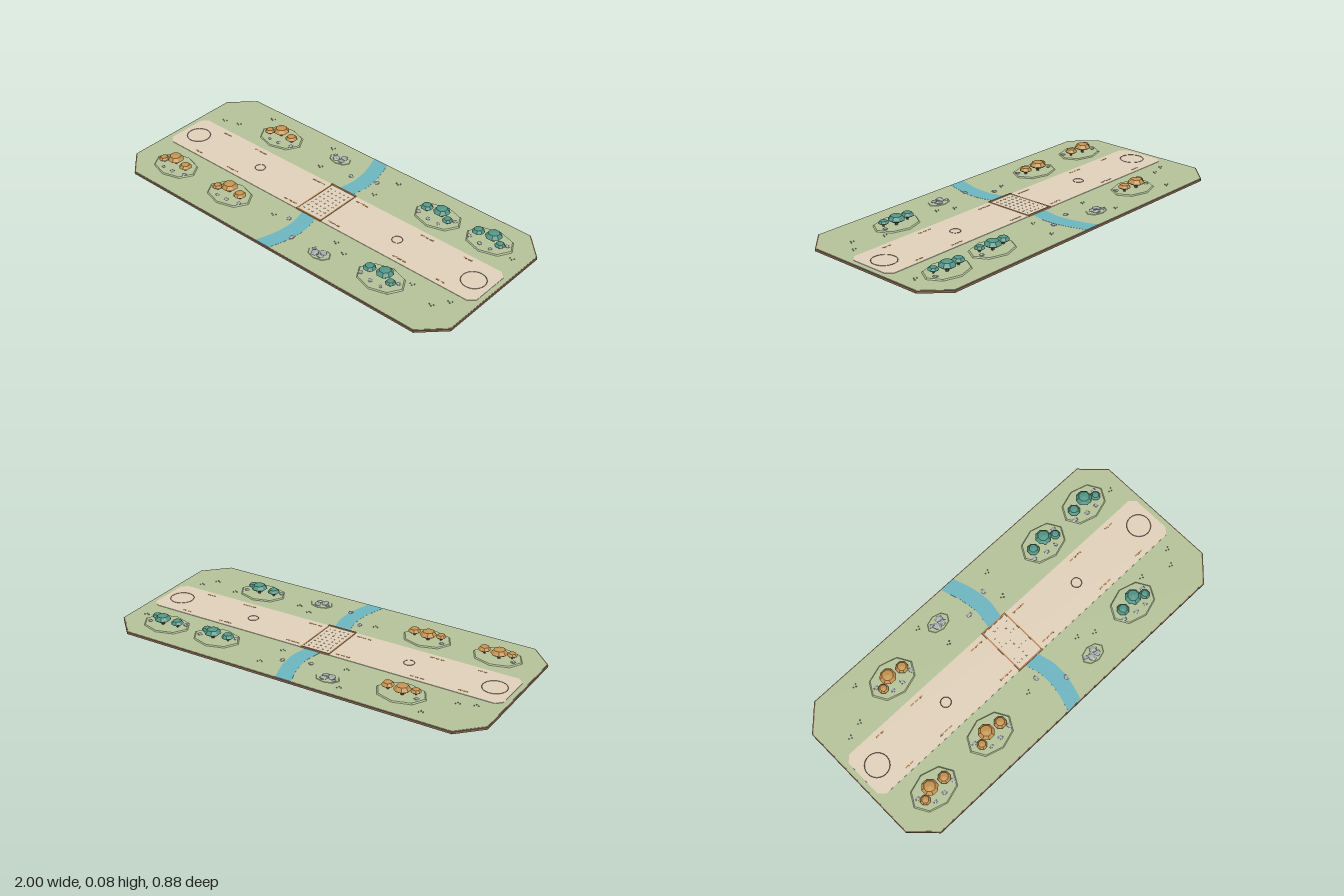
import * as THREE from 'three';

const mat = (name, color) => {
  const m = new THREE.MeshStandardMaterial({ color, flatShading: true });
  m.name = name;
  return m;
};

export function createModel() {
  const earth = mat('dark earth', 0x51473a), brown = mat('rim brown', 0x86684f);
  const grass = mat('grass', 0xb4c198), sand = mat('path sand', 0xdfd0b9);
  const water = mat('water', 0x6cb4bf), copper = mat('copper trim', 0xb98758);
  const teal = mat('teal foliage', 0x539686), amber = mat('amber foliage', 0xc49350);
  const stone = mat('stone', 0xa9aeb2), bark = mat('bark', 0x66503c);

  const root = new THREE.Group();
  root.name = 'battlefieldBoard';

  const add = (name, geo, material, x = 0, y = 0, z = 0, parent = root) => {
    const m = new THREE.Mesh(geo, material);
    m.name = name;
    m.position.set(x, y, z);
    parent.add(m);
    return m;
  };
  const box = (name, material, w, h, d, x, y, z, parent) =>
    add(name, new THREE.BoxGeometry(w, h, d), material, x, y, z, parent);

  // Horizontal slab extruded upward from a list of [x, z] points
  const slab = (pts, y0, y1) => {
    const shape = new THREE.Shape(pts.map(([x, z]) => new THREE.Vector2(x, -z)));
    const g = new THREE.ExtrudeGeometry(shape, { depth: y1 - y0, bevelEnabled: false });
    return g.rotateX(-Math.PI / 2).translate(0, y0, 0);
  };
  const octagon = (a, b, cx, cz) => [
    [a, b - cz], [a - cx, b], [-a + cx, b], [-a, b - cz],
    [-a, -b + cz], [-a + cx, -b], [a - cx, -b], [a, -b + cz]];

  // Board: tapered earth base, brown rim and inset grass
  const base = slab(octagon(1, 0.44, 0.115, 0.115), 0, 0.006);
  const p = base.attributes.position;
  for (let i = 0; i < p.count; i++) {
    if (p.getY(i) < 0.001) p.setXYZ(i, p.getX(i) * 0.988, 0, p.getZ(i) * 0.973);
  }
  base.computeVertexNormals();
  add('earthBase', base, earth);
  add('boardRim', slab(octagon(1, 0.44, 0.115, 0.115), 0.006, 0.0165), brown);
  add('grassField', slab(octagon(0.995, 0.435, 0.114, 0.114), 0.0165, 0.018), grass);

  // Winding river
  const bend = new THREE.CatmullRomCurve3([
    [-0.02, -0.435], [0.015, -0.32], [0.025, -0.22], [0.01, -0.13], [0, 0],
    [0.005, 0.13], [0.025, 0.22], [0.02, 0.32], [-0.012, 0.435],
  ].map(([x, z]) => new THREE.Vector3(x, 0, z))).getPoints(32);
  add('river', slab([
    ...bend.map(v => [v.x - 0.042, v.z]),
    ...bend.slice().reverse().map(v => [v.x + 0.042, v.z]),
  ], 0.0175, 0.0187), water);

  // Central road
  add('road', slab(octagon(0.97, 0.13, 0.03, 0.03), 0.0175, 0.0203), sand);

  // Ring markings and dashes on the road
  for (const s of [-1, 1]) {
    for (const [x, r] of [[0.88, 0.06], [0.44, 0.026]]) {
      const g = new THREE.TorusGeometry(r, 0.0013, 4, r > 0.05 ? 24 : 16);
      add('roadRing', g.rotateX(Math.PI / 2), bark, s * x, 0.0205, 0);
    }
    for (const zs of [-1, 1]) {
      for (const [x, n] of [[0.77, 2], [0.535, 3], [0.14, 3]]) {
        for (let i = 0; i < n; i++) {
          box('roadDash', copper, 0.02, 0.0015, 0.007, s * (x + (i - (n - 1) / 2) * 0.027), 0.0206, zs * 0.103);
        }
      }
    }
  }

  // Bridge deck, edge trim, rails and small raised studs
  const bridge = new THREE.Group();
  bridge.name = 'bridge';
  root.add(bridge);
  box('bridgeDeck', sand, 0.15, 0.004, 0.256, 0, 0.0195, 0, bridge);
  for (const s of [-1, 1]) {
    box('bridgeTrim', copper, 0.007, 0.004, 0.26, s * 0.075, 0.021, 0, bridge);
    box('bridgeRail', copper, 0.156, 0.008, 0.008, 0, 0.021, s * 0.128, bridge);
  }
  for (let i = 0; i < 5; i++) {
    for (let j = 0; j < 8; j++) {
      box('stud', sand, 0.007, 0.002, 0.007, (i - 2) * 0.026, 0.0222, (j - 3.5) * 0.028, bridge);
    }
  }

  // Trees: faceted domes on short trunks
  const tree = (x, z, r, h, foliage, parent) => {
    add('trunk', new THREE.CylinderGeometry(r * 0.13, r * 0.19, h - 0.025, 6), bark, x, (h + 0.015) / 2, z, parent);
    const t = r * 0.75;
    const profile = [[0, 0.1], [0.75, 0], [1, 0.25], [0.66, 0.82], [0, 1]]
      .map(([a, b]) => new THREE.Vector2(a * r, h - t + b * t));
    add('canopy', new THREE.LatheGeometry(profile, 8, Math.PI / 8), foliage, x, 0, z, parent);
  };

  // Small faceted rock
  const rock = (x, z, r, y, parent) => {
    const m = add('rock', new THREE.IcosahedronGeometry(r), stone, x, y + r * 0.15, z, parent);
    m.scale.set(1, 0.4, 0.85);
    m.rotation.y = x * 40 + z * 17;
  };

  // Low eight-sided hill
  const mound = (x, z, rx, rz, h, parent) => {
    const m = add('mound', new THREE.CylinderGeometry(0.95, 1, h, 8), grass, x, 0.018 + h / 2, z, parent);
    m.scale.set(rx, 1, rz);
  };

  // Groves: a mound carrying three trees and a few rocks
  const groves = [
    [-0.555, -0.278, 1, amber], [-0.78, 0.255, 1, amber], [-0.41, 0.246, 1, amber],
    [0.485, -0.278, -1, teal], [0.78, -0.288, -1, teal], [0.573, 0.252, -1, teal]];
  for (const [x, z, s, foliage] of groves) {
    const g = new THREE.Group();
    g.name = 'grove';
    g.position.set(x, 0, z);
    root.add(g);
    mound(s * 0.012, 0.013, 0.127, 0.092, 0.0055, g);
    tree(0, 0, 0.042, 0.075, foliage, g);
    tree(s * 0.08, 0.011, 0.032, 0.063, foliage, g);
    tree(s * -0.055, 0.028, 0.026, 0.056, foliage, g);
    for (const [dx, dz, r] of [[-0.075, -0.005, 0.014], [0.035, 0.06, 0.014], [0.105, 0.045, 0.015],
      [-0.025, 0.062, 0.012]]) {
      rock(s * dx, dz, r, 0.0235, g);
    }
  }

  // Rock outcrops
  for (const [x, z] of [[-0.19, -0.32], [0.235, 0.315]]) {
    mound(x, z, 0.062, 0.042, 0.002, root);
    for (const [dx, dz, r] of [[-0.016, 0.01, 0.024], [0.015, -0.014, 0.021],
      [0.018, 0.014, 0.018], [-0.04, -0.01, 0.012]]) rock(x + dx, z + dz, r, 0.02);
  }

  // River bank stones
  for (const [x, z] of [[-0.053, -0.245], [0.08, -0.285], [-0.048, 0.213], [0.06, 0.31]]) {
    rock(x, z, 0.015, 0.018);
  }

  // Grass tufts
  const tufts = [[-0.695, -0.365], [-0.88, -0.19], [-0.8, -0.215], [-0.28, -0.37], [-0.225, -0.21],
    [0.165, -0.35], [0.13, -0.205], [0.92, -0.24], [0.24, 0.2], [-0.125, 0.235],
    [0.89, 0.185], [0.84, 0.255], [0.32, 0.24], [0.69, 0.2]];
  const blade = new THREE.ConeGeometry(0.004, 0.006, 4);
  for (const [x, z] of tufts) {
    for (const [dx, dz] of [[-0.01, 0.003], [0.009, -0.004], [0.003, 0.009]]) {
      add('grassTuft', blade, teal, x + dx, 0.0205, z + dz);
    }
  }
  return root;
}
